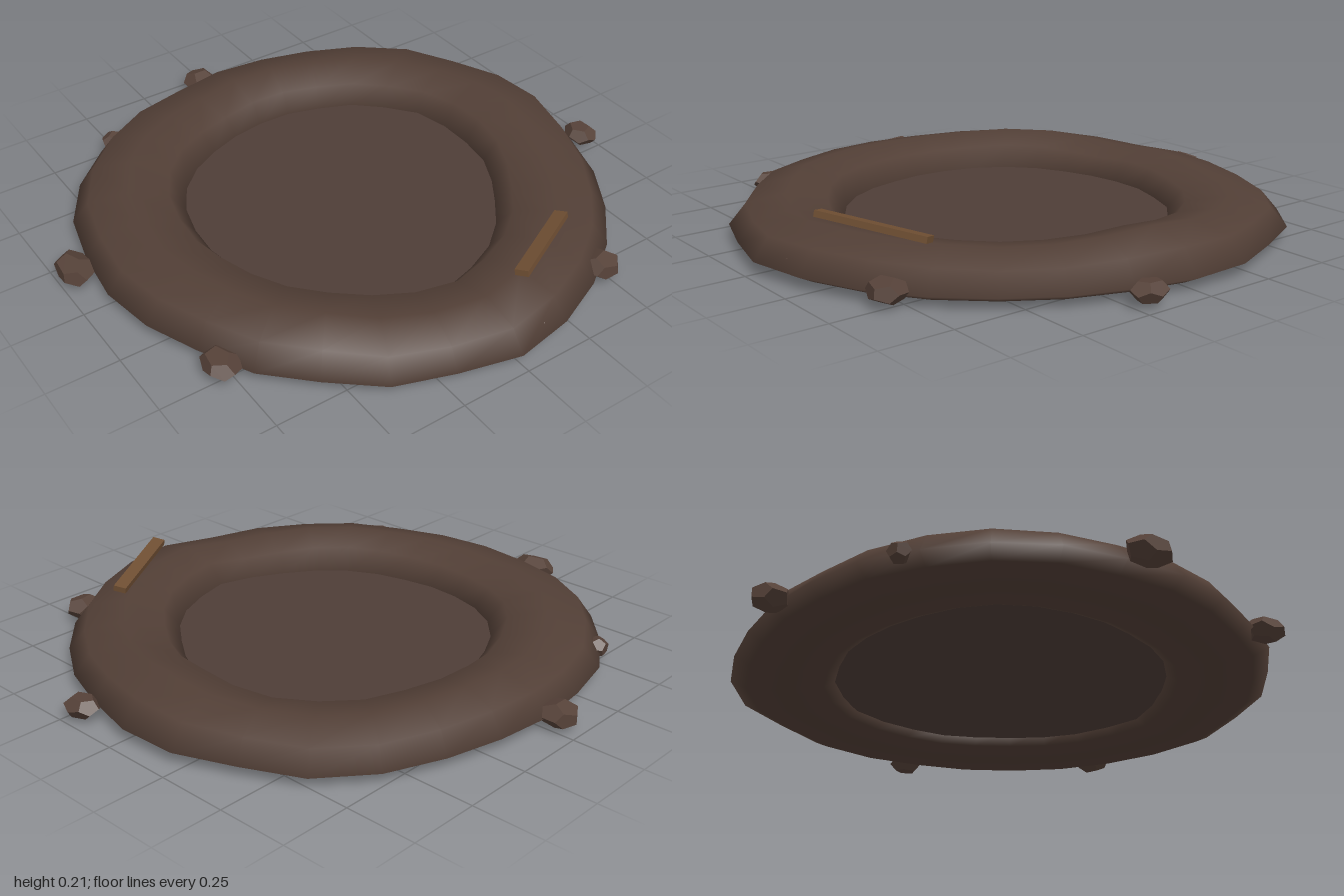
import * as THREE from 'three';
import { mergeVertices } from 'three/addons/utils/BufferGeometryUtils.js';

const material = (name, color, extra = {}) => {
  const m = new THREE.MeshStandardMaterial({ color, ...extra });
  m.name = name;
  return m;
};

// Outer radius, inner radius and crest height of the rim, counter-clockwise from +x seen from above
const OUTER = [0.945, 0.96, 0.95, 0.975, 0.955, 0.92, 0.9, 0.9, 0.9, 0.92, 0.92, 0.93, 0.93, 0.91,
  0.91, 0.9, 0.89, 0.91, 0.91, 0.94, 0.94, 0.97, 0.955, 0.94, 0.93, 0.92, 0.92, 0.92];
const INNER = [0.56, 0.575, 0.59, 0.575, 0.57, 0.55, 0.545, 0.535, 0.53, 0.53, 0.54, 0.545, 0.54, 0.53,
  0.525, 0.52, 0.53, 0.54, 0.545, 0.55, 0.57, 0.595, 0.575, 0.565, 0.55, 0.535, 0.54, 0.555];
const CREST = [0.172, 0.16, 0.15, 0.145, 0.145, 0.15, 0.155, 0.155, 0.143, 0.15, 0.163, 0.163, 0.155, 0.155,
  0.155, 0.16, 0.163, 0.165, 0.163, 0.15, 0.142, 0.155, 0.158, 0.155, 0.15, 0.143, 0.148, 0.16];

// Uneven, flattened ring with smooth normals
function rimGeometry() {
  const n = OUTER.length, sides = 8, mid = 0.052, bottom = 0.012;
  const geo = new THREE.TorusGeometry(0.75, 0.18, sides, n);
  const pos = geo.attributes.position;
  for (let j = 0; j <= sides; j++) {
    const v = ((j % sides) / sides) * Math.PI * 2;
    for (let i = 0; i <= n; i++) {
      const k = i % n, a = (k / n) * Math.PI * 2, s = Math.sin(v);
      const r = (OUTER[k] + INNER[k]) / 2 + ((OUTER[k] - INNER[k]) / 2) * Math.cos(v);
      const y = mid + s * (s > 0 ? CREST[k] - mid : mid - bottom);
      pos.setXYZ(j * (n + 1) + i, r * Math.cos(a), y, -r * Math.sin(a));
    }
  }
  geo.deleteAttribute('uv');
  geo.deleteAttribute('normal');
  const merged = mergeVertices(geo);
  merged.computeVertexNormals();
  return merged;
}

export function createModel() {
  const group = new THREE.Group();
  const mud = material('mud', 0x523f36);
  const floor = material('wet floor', 0x4e3d37);
  const stone = material('stone', 0x554138, { flatShading: true });
  const wood = material('wood', 0x6e4e32);

  const add = (name, geo, mat) => {
    const mesh = new THREE.Mesh(geo, mat);
    mesh.name = name;
    group.add(mesh);
    return mesh;
  };

  add('rim', rimGeometry(), mud);

  // Thin floor whose edge is hidden inside the rim
  const disc = add('floor', new THREE.CylinderGeometry(0.64, 0.64, 0.012, 32), floor);
  disc.position.y = 0.049;

  // Squashed stones around the edge: x, y, z, half width, half height, half depth
  const stones = [
    [-0.038, 0.06, -0.92, 0.062, 0.042, 0.064],
    [-0.945, 0.06, -0.172, 0.058, 0.042, 0.082],
    [-0.775, 0.063, 0.48, 0.057, 0.036, 0.074],
    [0.947, 0.06, 0.2, 0.052, 0.036, 0.063],
    [0.485, 0.062, 0.797, 0.066, 0.04, 0.06],
    [-0.508, 0.063, -0.745, 0.043, 0.034, 0.038],
    [0.12, 0.066, 0.895, 0.04, 0.03, 0.036],
  ];
  stones.forEach(([x, y, z, ...half], i) => {
    const geo = new THREE.DodecahedronGeometry(1.06).rotateY(i * 0.9).rotateX(i * 0.5);
    const mesh = add('stone' + (i + 1), geo, stone);
    mesh.position.set(x, y, z);
    mesh.scale.set(...half);
  });

  // Stick lying across the front of the rim
  const stick = add('stick', new THREE.BoxGeometry(0.385, 0.021, 0.045), wood);
  stick.position.set(0.286, 0.19, 0.714);
  stick.rotation.set(-0.2, 0.51, 0);

  return group;
}
